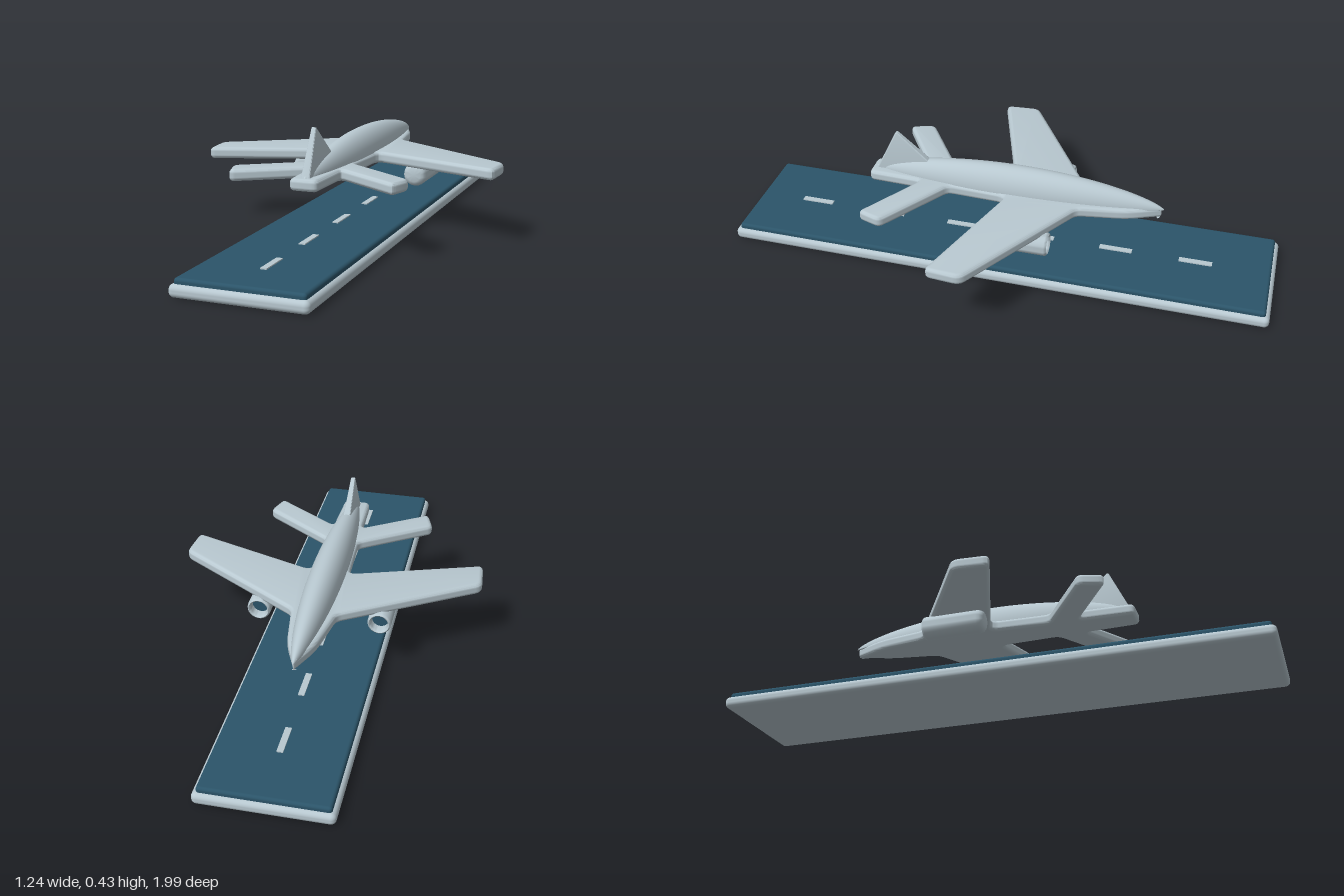
import * as THREE from 'three';
import { toCreasedNormals } from 'three/addons/utils/BufferGeometryUtils.js';
import { RoundedBoxGeometry } from 'three/addons/geometries/RoundedBoxGeometry.js';

const paleGrey = new THREE.MeshStandardMaterial({ color: 0xb8c8d0 });
const deepTeal = new THREE.MeshStandardMaterial({ color: 0x2b5469 });
paleGrey.name = 'paleGrey';
deepTeal.name = 'deepTeal';

function add(parent, name, geometry, material, x = 0, y = 0, z = 0) {
  const mesh = new THREE.Mesh(geometry, material);
  mesh.name = name;
  mesh.position.set(x, y, z);
  parent.add(mesh);
  return mesh;
}

// Closed outline with softened corners; each point is [x, y, radius]
function roundedShape(points) {
  const shape = new THREE.Shape();
  const n = points.length;
  const v = points.map(([x, y]) => new THREE.Vector2(x, y));
  for (let i = 0; i < n; i++) {
    const p = v[i], r = points[i][2] ?? 0;
    const toward = (q) => q.clone().sub(p).setLength(Math.min(r, q.distanceTo(p) * 0.4)).add(p);
    const a = toward(v[(i + n - 1) % n]), b = toward(v[(i + 1) % n]);
    if (i === 0) shape.moveTo(a.x, a.y);
    else shape.lineTo(a.x, a.y);
    if (r > 0) shape.quadraticCurveTo(p.x, p.y, b.x, b.y);
  }
  shape.closePath();
  return shape;
}

// Plate of the given thickness with rounded edges, centred on its thickness
function softPlate(shape, thickness, bevel) {
  const depth = thickness - 2 * bevel;
  const g = new THREE.ExtrudeGeometry(shape, {
    depth, bevelThickness: bevel, bevelSize: bevel, bevelOffset: -bevel,
    bevelSegments: 4, curveSegments: 4,
  });
  return g.translate(0, 0, -depth / 2);
}

function createRunway() {
  const runway = new THREE.Group();
  runway.name = 'runway';
  add(runway, 'runwayBase', new RoundedBoxGeometry(0.46, 0.043, 1.99, 4, 0.018), paleGrey, 0, 0.0215, 0);
  add(runway, 'runwaySurface', new RoundedBoxGeometry(0.432, 0.03, 1.96, 3, 0.011), deepTeal, 0, 0.046, 0);
  for (let i = 0; i < 6; i++) {
    add(runway, 'centreDash', new THREE.BoxGeometry(0.022, 0.006, 0.12), paleGrey, 0, 0.062, 0.75 - i * 0.292);
  }
  return runway;
}

function createEngine() {
  const engine = new THREE.Group();
  engine.name = 'engine';
  // Closed rounded rear, open rolled lip at the front
  const profile = [
    [0, 0], [0.024, 0], [0.033, 0.004], [0.039, 0.011], [0.042, 0.022], [0.042, 0.216],
    [0.04, 0.222], [0.036, 0.225], [0.032, 0.222], [0.03, 0.216], [0.03, 0.185],
  ].map(([r, y]) => new THREE.Vector2(r, y));
  const shell = toCreasedNormals(new THREE.LatheGeometry(profile, 32).rotateX(-Math.PI / 2), 0.7);
  add(engine, 'engineShell', shell, paleGrey);
  add(engine, 'engineIntake', new THREE.CircleGeometry(0.031, 32).rotateY(Math.PI), deepTeal, 0, 0, -0.19);
  return engine;
}

function createPlane() {
  const plane = new THREE.Group();
  plane.name = 'aeroplane';

  // Half of the plan outline, from nose to tail, then mirrored
  const half = [
    [0.05, -0.46, 0.04], [0.08, -0.28, 0.02],      // forward body and wing root
    [0.55, 0.008, 0.025], [0.54, 0.138, 0.025],    // wing tip
    [0.07, -0.018, 0.03],                          // trailing wing root
    [0.062, 0.2, 0.02],                            // tailplane root
    [0.322, 0.372, 0.022], [0.292, 0.462, 0.022],  // tailplane tip
    [0.056, 0.31, 0.02], [0.05, 0.508, 0.02],      // tail end
  ];
  const mirrored = half.map(([x, z, r]) => [-x, z, r]).reverse();
  const outline = roundedShape([[0, -0.575, 0.008], ...half, ...mirrored]);
  const wings = softPlate(outline, 0.042, 0.014).rotateX(Math.PI / 2);
  add(plane, 'wingsAndTailplane', toCreasedNormals(wings, 0.6), paleGrey, 0, 0.256, 0);

  // Domed fuselage with tapered ends
  const body = new THREE.SphereGeometry(1, 48, 40).rotateX(Math.PI / 2);
  const p = body.attributes.position;
  for (let i = 0; i < p.count; i++) {
    const taper = Math.pow(Math.max(0, 1 - p.getZ(i) ** 2), 0.2);
    const y = p.getY(i);
    p.setXYZ(i, p.getX(i) * taper * 0.063, y * taper * (y > 0 ? 0.09 : 0.02), p.getZ(i) * 0.54);
  }
  body.computeVertexNormals();
  add(plane, 'fuselage', body, paleGrey, 0, 0.27, -0.04);

  // Upright fin, thinner towards its top
  const finShape = roundedShape([[0.24, 0.29], [0.49, 0.27], [0.41, 0.437, 0.01]]);
  const fin = softPlate(finShape, 0.032, 0.006).rotateY(-Math.PI / 2);
  const f = fin.attributes.position;
  for (let i = 0; i < f.count; i++) {
    f.setX(i, f.getX(i) * (1 - 3 * (f.getY(i) - 0.28)));
  }
  add(plane, 'tailFin', toCreasedNormals(fin, 0.6), paleGrey);

  for (const side of [-1, 1]) {
    const engine = createEngine();
    engine.position.set(side * 0.217, 0.205, 0.012);
    plane.add(engine);
  }
  return plane;
}

export function createModel() {
  const model = new THREE.Group();
  model.name = 'planeOverRunway';
  const turned = new THREE.Group();
  turned.name = 'turnedAssembly';
  turned.rotation.y = -0.435;
  turned.add(createRunway(), createPlane());
  model.add(turned);
  return model;
}
